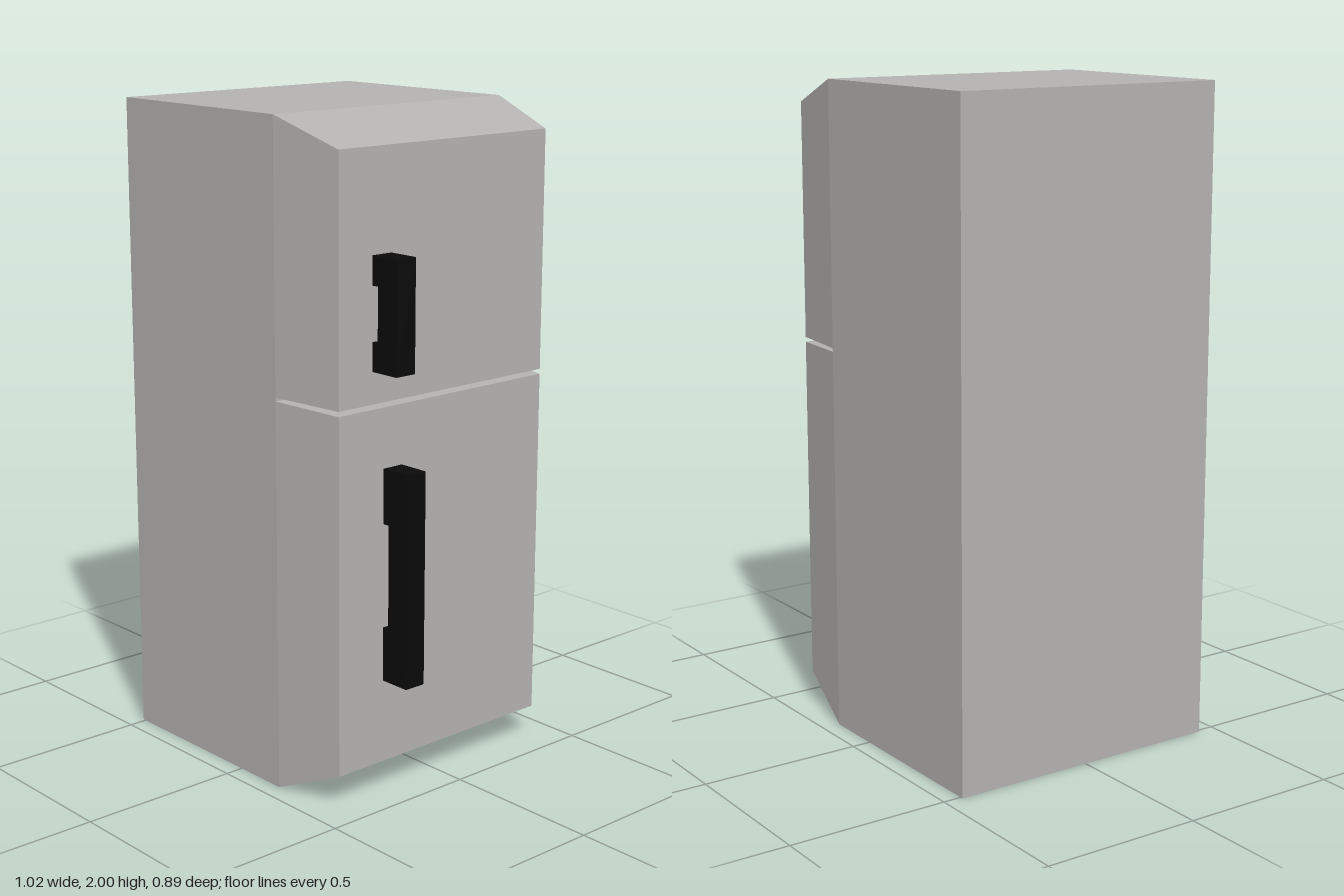
import * as THREE from 'three';

const BACK_X = -0.51, SEAM_X = 0.18, FRONT_X = 0.41;
const HALF_DEPTH = 0.443, FRONT_HALF_DEPTH = 0.405;

// Box whose +x face has its own y range and half depth
function taperedBox(x0, x1, back, front) {
  const g = new THREE.BoxGeometry(1, 1, 1);
  const p = g.attributes.position;
  for (let i = 0; i < p.count; i++) {
    const end = p.getX(i) > 0 ? front : back;
    p.setXYZ(
      i,
      p.getX(i) > 0 ? x1 : x0,
      p.getY(i) > 0 ? end.top : end.bottom,
      Math.sign(p.getZ(i)) * end.half
    );
  }
  g.computeVertexNormals();
  return g;
}

// C-shaped handle: a grip bar on two feet
function handleGeometry(y0, y1, foot, z0, z1) {
  const grip = FRONT_X + 0.022, outer = 0.51;
  const shape = new THREE.Shape([
    [FRONT_X, y0], [outer, y0], [outer, y1], [FRONT_X, y1],
    [FRONT_X, y1 - foot], [grip, y1 - foot], [grip, y0 + foot], [FRONT_X, y0 + foot],
  ].map(([x, y]) => new THREE.Vector2(x, y)));
  const g = new THREE.ExtrudeGeometry(shape, { depth: z1 - z0, bevelEnabled: false });
  return g.translate(0, 0, z0);
}

export function createModel() {
  const shell = new THREE.MeshStandardMaterial({ color: 0xb4b2b0 });
  shell.name = 'greyEnamel';
  const black = new THREE.MeshStandardMaterial({ color: 0x0a0a0a });
  black.name = 'blackPlastic';

  const model = new THREE.Group();
  model.name = 'refrigerator';
  const add = (name, geometry, material) => {
    const mesh = new THREE.Mesh(geometry, material);
    mesh.name = name;
    model.add(mesh);
  };

  // Cabinet
  const section = { bottom: 0, top: 2, half: HALF_DEPTH };
  add('cabinet', taperedBox(BACK_X, SEAM_X, section, section), shell);

  // Doors, bevelled towards the front with a thin slit between them
  add('freezerDoor', taperedBox(SEAM_X, FRONT_X,
    { bottom: 1.2, top: 2, half: HALF_DEPTH },
    { bottom: 1.195, top: 1.92, half: FRONT_HALF_DEPTH }), shell);
  add('mainDoor', taperedBox(SEAM_X, FRONT_X,
    { bottom: 0, top: 1.189, half: HALF_DEPTH },
    { bottom: 0.1, top: 1.18, half: FRONT_HALF_DEPTH }), shell);

  // Handles
  add('freezerHandle', handleGeometry(1.29, 1.62, 0.085, 0.21, 0.28), black);
  add('mainHandle', handleGeometry(0.355, 1.0, 0.165, 0.165, 0.235), black);

  return model;
}
